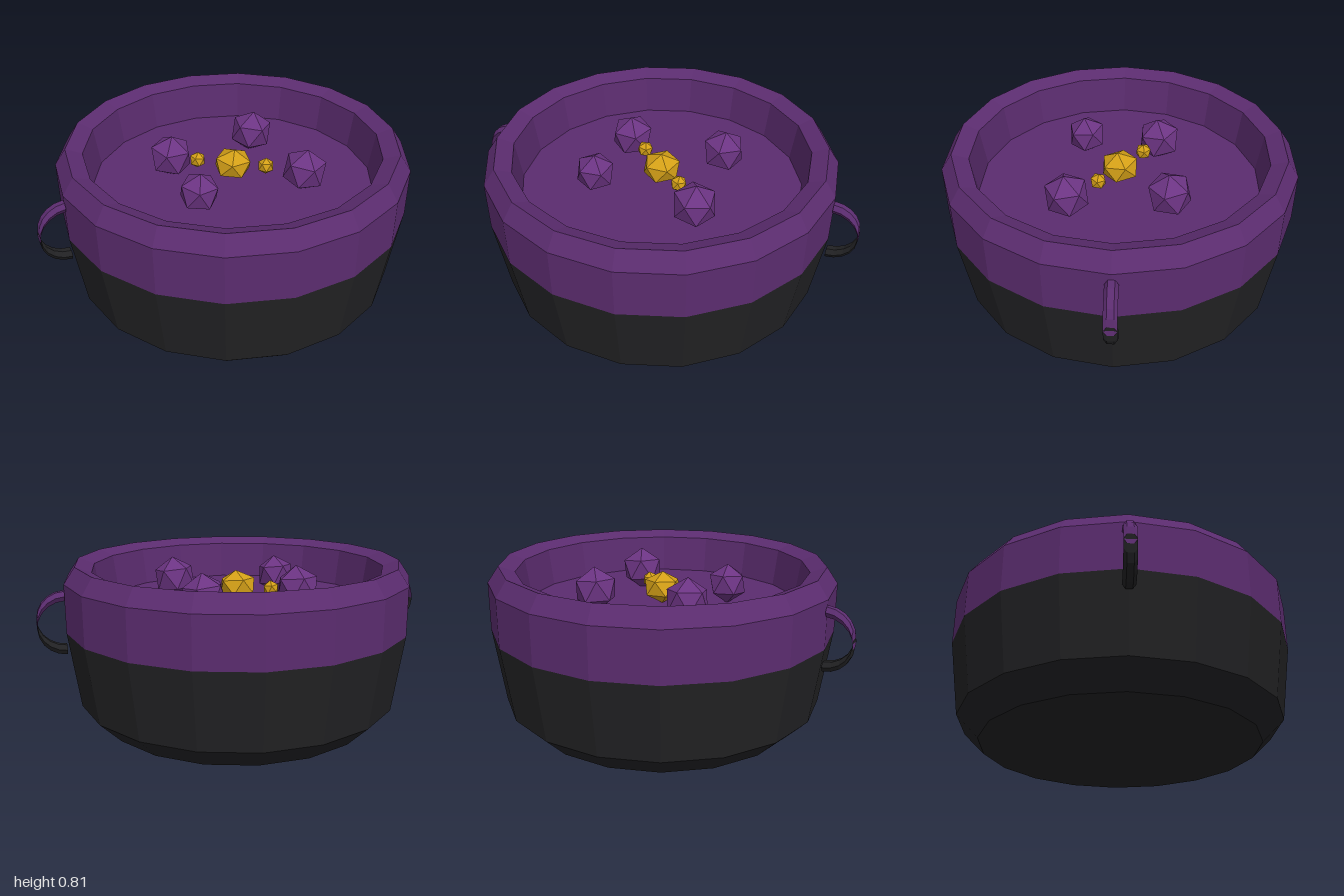
import * as THREE from 'three';

const SIDES = 18;
const mat = (color, side = THREE.FrontSide) =>
  new THREE.MeshStandardMaterial({ color, flatShading: true, side });

function add(parent, name, geometry, material) {
  const mesh = new THREE.Mesh(geometry, material);
  mesh.name = name;
  parent.add(mesh);
  return mesh;
}

// Faceted ring from a radius/height profile, with a corner on the x axis
function turned(profile) {
  const points = profile.map(([r, y]) => new THREE.Vector2(r, y));
  return new THREE.LatheGeometry(points, SIDES, Math.PI / 2);
}

// Quarter of a handle: an upright hexagonal section slid along an elliptic arc
function handleArc(sign) {
  const steps = 5, ring = 6, position = [], index = [];
  for (let i = 0; i <= steps; i++) {
    const t = (i / steps) * Math.PI / 2;
    const x = 0.865 + 0.135 * Math.sin(t);
    const y = 0.545 + sign * 0.132 * Math.cos(t);
    for (let j = 0; j < ring; j++) {
      const a = (j / ring) * Math.PI * 2 + Math.PI / 6;
      position.push(x, y + 0.027 * Math.cos(a), 0.03 * Math.sin(a));
      if (i === steps) continue;
      const p = i * ring + j, q = i * ring + (j + 1) % ring;
      index.push(p, q, p + ring, q, q + ring, p + ring);
    }
  }
  const g = new THREE.BufferGeometry();
  g.setAttribute('position', new THREE.Float32BufferAttribute(position, 3));
  g.setIndex(index);
  g.computeVertexNormals();
  return g;
}

// Twenty-sided stone standing on one corner
function stone(radius, turn, squash = 1) {
  return new THREE.IcosahedronGeometry(radius, 0)
    .rotateZ(-Math.atan(2 / (1 + Math.sqrt(5))))
    .rotateX(0.12)
    .rotateY(turn)
    .scale(1, squash, 1);
}

export function createModel() {
  const model = new THREE.Group();
  model.name = 'cauldron';
  const dark = mat(0x222224), purple = mat(0x5b2c6f);
  const gem = mat(0x6c3483), gold = mat(0xd4a017);

  // Bowl, upper band with its hollow rim, and the surface inside
  add(model, 'bowl', turned([[0, 0], [0.7, 0], [0.81, 0.11], [0.865, 0.49]]), dark);
  add(model, 'rim', turned([
    [0.865, 0.49], [0.865, 0.73], [0.81, 0.81], [0.73, 0.78], [0.702, 0.59],
  ]), purple);
  add(model, 'surface', new THREE.CircleGeometry(0.702, SIDES).rotateX(-Math.PI / 2), purple)
    .position.y = 0.59;

  // Two-tone handles, mirrored
  const upper = mat(0x5b2c6f, THREE.DoubleSide), lower = mat(0x222224, THREE.DoubleSide);
  for (const [name, side] of [['leftHandle', 1], ['rightHandle', -1]]) {
    const handle = new THREE.Group();
    handle.name = name;
    add(handle, 'upperHandle', handleArc(1), upper);
    add(handle, 'lowerHandle', handleArc(-1), lower);
    handle.scale.x = side;
    model.add(handle);
  }

  // Purple stones: x, z, radius, turn
  [[-0.25, -0.195, 0.112, 0.3], [0.24, -0.245, 0.112, 1.0],
    [-0.275, 0.185, 0.1, 0.5], [0.27, 0.24, 0.112, 0.8]].forEach(([x, z, r, turn], i) => {
    add(model, `purpleStone${i + 1}`, stone(r, turn), gem).position.set(x, 0.683, z);
  });

  // Golden stones: x, z, radius, squash
  [[0, 0, 0.1, 0.8], [-0.14, -0.115, 0.042, 1], [0.133, 0.1, 0.042, 1]]
    .forEach(([x, z, r, squash], i) => {
      add(model, `goldStone${i + 1}`, stone(r, 0.4 + i, squash), gold).position.set(x, 0.67, z);
    });

  return model;
}
